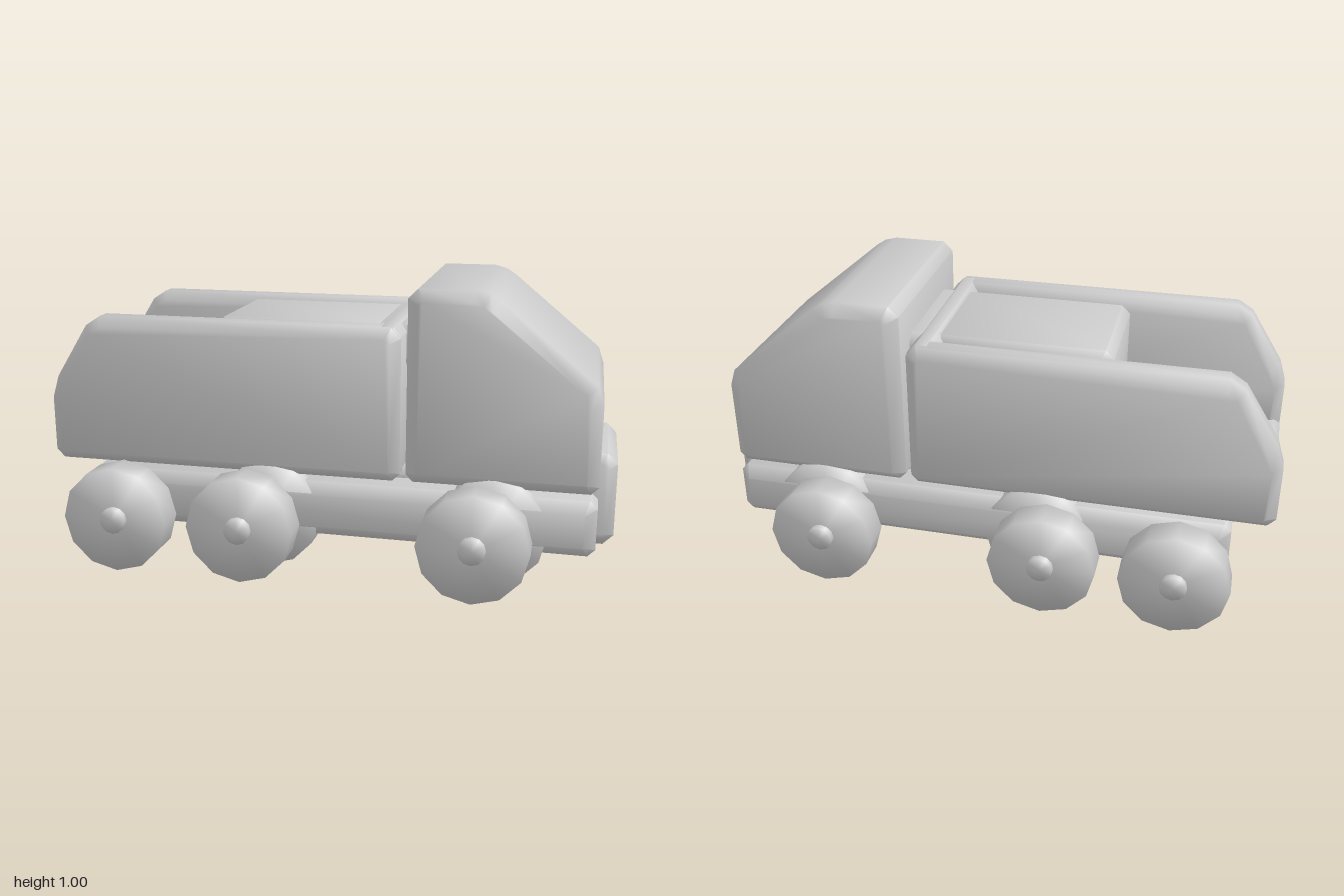
import * as THREE from 'three';
import { toCreasedNormals } from 'three/addons/utils/BufferGeometryUtils.js';

const material = new THREE.MeshStandardMaterial({ color: 0xcccccc, side: THREE.DoubleSide });

export function createModel() {
  const model = new THREE.Group();
  model.name = 'toyDumpTruck';

  function add(name, geometry, x = 0, y = 0, z = 0) {
    const mesh = new THREE.Mesh(geometry, material);
    mesh.name = name;
    mesh.position.set(x, y, z);
    model.add(mesh);
    return mesh;
  }

  // Side outline extruded between z0 and z1 with softly shaded chamfers
  function slab(name, points, z0, z1, bevel = 0.04) {
    const shape = new THREE.Shape(points.map(([x, y]) => new THREE.Vector2(x, y)));
    const geometry = new THREE.ExtrudeGeometry(shape, {
      depth: z1 - z0 - 2 * bevel,
      bevelEnabled: true,
      bevelSize: bevel,
      bevelThickness: bevel,
      bevelOffset: -bevel,
      bevelSegments: 1,
    });
    return add(name, toCreasedNormals(geometry, 1.0), 0, 0, z0 + bevel);
  }

  // Box with cut corners, given by its limits
  function block(name, x0, x1, y0, y1, z0, z1, bevel = 0.035, cut = 0.025) {
    const c = cut;
    return slab(name, [
      [x0 + c, y0], [x1 - c, y0], [x1, y0 + c], [x1, y1 - c],
      [x1 - c, y1], [x0 + c, y1], [x0, y1 - c], [x0, y0 + c],
    ], z0, z1, bevel);
  }

  // Chassis and nose
  block('chassis', -0.86, 0.94, 0.117, 0.312, -0.37, 0.37, 0.04);
  block('nose', 0.7, 1.0, 0.115, 0.44, -0.23, 0.23, 0.03, 0.035);

  // Cab with sloping windscreen
  slab('cab', [
    [0.32, 0.335], [0.915, 0.335], [0.94, 0.36], [0.94, 0.64], [0.92, 0.7],
    [0.6, 0.965], [0.565, 0.988], [0.52, 1.0], [0.33, 1.0], [0.295, 0.965], [0.295, 0.36],
  ], -0.37, 0.37);

  // Open bed: two sloped-back walls, floor and front wall
  for (const side of [-1, 1]) {
    const z = side > 0 ? [0.245, 0.37] : [-0.37, -0.245];
    slab('bedSideWall', [
      [-0.97, 0.335], [0.25, 0.335], [0.275, 0.36], [0.275, 0.83], [0.24, 0.865],
      [-0.8, 0.865], [-0.855, 0.83], [-0.975, 0.64], [-1.0, 0.56], [-1.0, 0.365],
    ], ...z, 0.035);
  }
  block('bedFloor', -1.0, 0.27, 0.335, 0.425, -0.365, 0.365, 0.035, 0.025);
  block('bedFrontWall', 0.175, 0.275, 0.335, 0.865, -0.35, 0.35, 0.03, 0.03);

  // Centre block in the bed, joined to the cab above and below
  block('centreBlock', -0.415, 0.22, 0.28, 0.857, -0.23, 0.23, 0.03, 0.03);
  block('upperLink', 0.15, 0.4, 0.7, 0.857, -0.23, 0.23, 0.03, 0.03);
  block('lowerLink', 0.15, 0.4, 0.25, 0.355, -0.23, 0.23, 0.03, 0.03);

  // Wheels and axles
  function disc(radius, length) {
    const geometry = new THREE.CylinderGeometry(radius, radius, length, 12);
    geometry.rotateX(Math.PI / 2);
    return toCreasedNormals(geometry, Math.PI);
  }
  const wheel = disc(0.187, 0.107);
  const outerAxle = disc(0.046, 1.124);
  const innerAxle = disc(0.046, 0.78);

  for (const x of [-0.69, -0.24, 0.55]) {
    add('outerAxle', outerAxle, x, 0.19);
    for (const side of [-1, 1]) add('outerWheel', wheel, x, 0.187, side * 0.488);
  }
  for (const x of [-0.19, 0.595]) {
    add('innerAxle', innerAxle, x, 0.19);
    for (const side of [-1, 1]) add('innerWheel', wheel, x, 0.187, side * 0.312);
  }

  return model;
}
